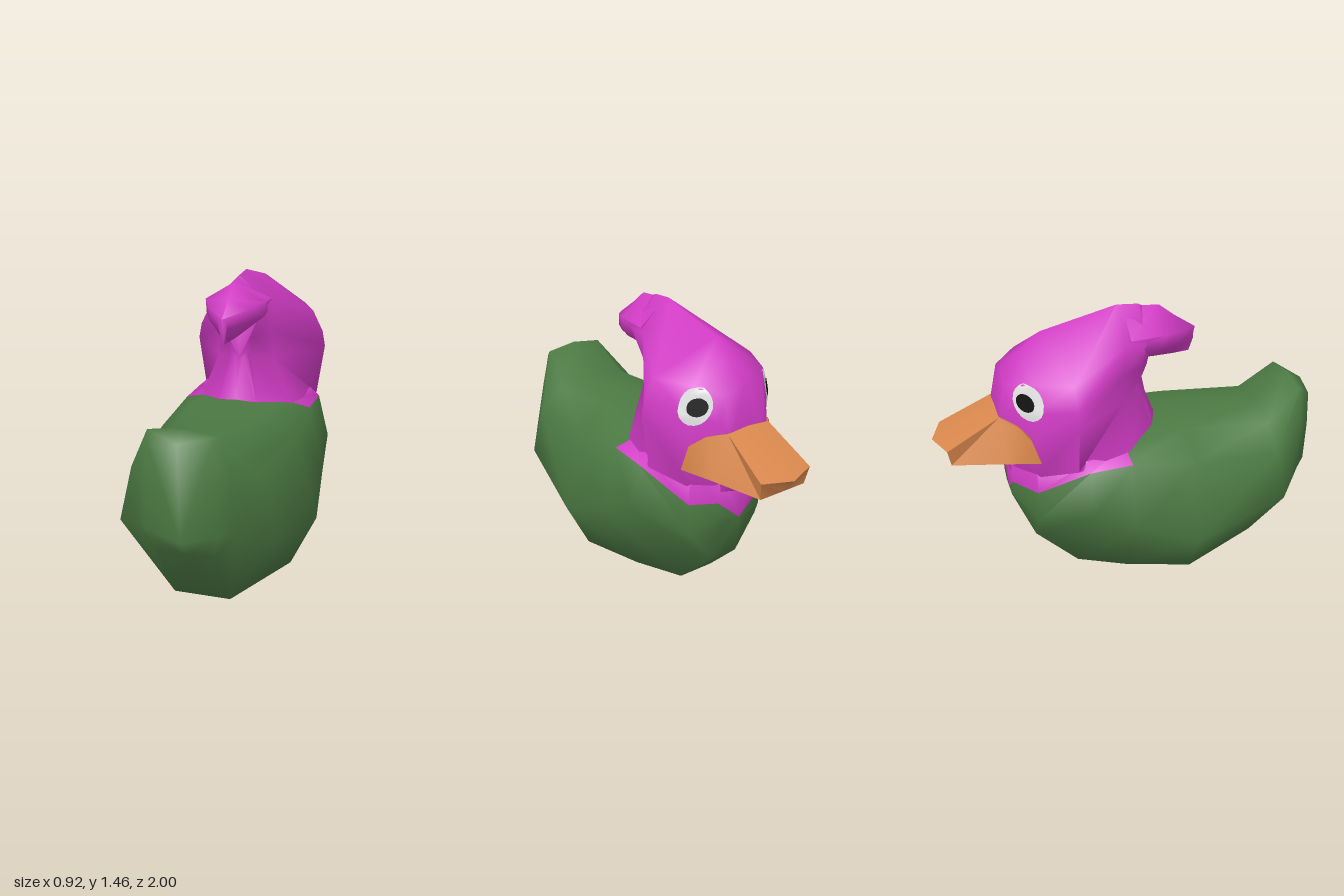
import * as THREE from 'three';
import { toCreasedNormals } from 'three/addons/utils/BufferGeometryUtils.js';

const mat = (name, color) => new THREE.MeshStandardMaterial({ name, color });

// Half cross-section at depth z, from bottom centre over the side points to top centre.
// Side points are [x, y] or [x, y, own z]; bottom and top are y or [y, own z].
const section = (z, bottom, top, ...sides) =>
  [[0, ...[bottom].flat()], ...sides, [0, ...[top].flat()]].map(([x, y, own = z]) => [x, y, own]);

// Loft mirrored sections, ordered from -z to +z; pick(section, row) chooses a material index.
function loft(sections, pick = () => 0) {
  const n = sections[0].length, ring = 2 * (n - 1);
  const pos = [], idx = [], geo = new THREE.BufferGeometry();
  for (const pts of sections) {
    for (let j = 0; j < ring; j++) {
      const [x, y, z] = pts[j < n ? j : ring - j];
      pos.push(j < n ? x : -x, y, z);
    }
  }
  const face = (m, ...v) => {
    geo.addGroup(idx.length, v.length, m);
    idx.push(...v);
  };
  const last = (sections.length - 1) * ring;
  for (let k = 0; k < sections.length - 1; k++) {
    for (let j = 0; j < ring; j++) {
      const row = j < n - 1 ? j : ring - 1 - j;
      const a = k * ring + j, b = k * ring + (j + 1) % ring;
      // mirror the diagonal so both sides match
      if (j < n - 1) face(pick(k, row), a, b, b + ring, a, b + ring, a + ring);
      else face(pick(k, row), a, b, a + ring, b, b + ring, a + ring);
    }
  }
  for (let j = 1; j < ring - 1; j++) {
    const row = Math.min(n - 2, j < n - 1 ? j : ring - 1 - j);
    face(pick(0, row), 0, j + 1, j);
    face(pick(sections.length - 2, row), last, last + j, last + j + 1);
  }
  geo.setAttribute('position', new THREE.Float32BufferAttribute(pos, 3));
  geo.setIndex(idx);
  return geo;
}

export function createModel() {
  const group = new THREE.Group();
  const green = mat('green', 0x4c7a43), purple = mat('purple', 0xd23cc6);
  const orange = mat('orange', 0xd8874c), white = mat('white', 0xe4e4e4);
  const black = mat('black', 0x101010);
  const add = (name, geo, material, crease) => {
    const m = new THREE.Mesh(toCreasedNormals(geo, crease), material);
    m.name = name;
    group.add(m);
    return m;
  };

  // Body with upturned tail; the chest top is purple
  const body = loft([
    section(-0.64, 0.5, 0.82, [0.07, 0.5], [0.12, 0.54], [0.13, 0.62], [0.12, 0.78]),
    section(-0.53, 0.22, 0.85, [0.08, 0.22], [0.2, 0.4], [0.225, 0.59], [0.21, 0.8]),
    section(-0.29, [0, -0.31], 0.82, [0.1, 0, -0.31], [0.4, 0.52], [0.345, 0.74], [0.3, 0.78]),
    section(-0.07, 0, 0.8, [0.22, 0], [0.42, 0.4], [0.34, 0.74], [0.2, 0.77]),
    section(0.26, 0, 0.83, [0.33, 0], [0.46, 0.27], [0.35, 0.69], [0.2, 0.81]),
    section(0.73, [0, 0.7], 0.77, [0.14, 0, 0.7], [0.38, 0.38, 0.77], [0.33, 0.64], [0.2, 0.76]),
    section(0.915, 0.32, 0.93, [0.14, 0.33], [0.23, 0.45], [0.22, 0.7], [0.165, 0.905]),
    section(0.98, 0.41, [0.88, 1], [0.1, 0.41], [0.165, 0.46], [0.165, 0.68], [0.14, 0.86]),
  ], (k, row) => (k < 3 && row >= 3 ? 1 : 0));
  add('body', body, [green, purple], 1.4);

  // Head and neck, narrowing to a ridge at the back
  const head = add('head', loft([
    section(-0.68, 0.8, 1.015, [0.1, 0.8], [0.11, 0.93], [0.11, 0.99], [0.08, 1.01]),
    section(-0.64, 0.65, 1.2, [0.12, 0.68], [0.14, 0.95], [0.14, 1.05], [0.11, 1.17]),
    section(-0.53, 0.65, 1.29, [0.215, 0.68], [0.24, 0.92], [0.24, 1.06], [0.205, 1.2]),
    section(-0.34, 0.7, [1.37, -0.43], [0.32, 0.74], [0.36, 1.01], [0.345, 1.09], [0.29, 1.2]),
    section(-0.05, 0.74, 1.455, [0.25, 0.75], [0.15, 1], [0.14, 1.14], [0.155, 1.3]),
    section(0.06, [0.81, 0.155], 1.445, [0.1, 0.8, 0.11], [0.06, 1.02, 0.04], [0.07, 1.13], [0.15, 1.3]),
    section(0.09, [1.02, 0.075], 1.43, [0.02, 1.03, 0.07], [0.04, 1.06, 0.07], [0.06, 1.14], [0.13, 1.3]),
  ]), purple, 1.3);

  // Swept-back crest
  add('crest', loft([
    section(-0.02, 1.15, 1.445, [0.05, 1.18], [0.13, 1.27], [0.145, 1.32]),
    section(0.14, 1.145, [1.425, 0.17], [0.05, 1.18], [0.15, 1.26], [0.155, 1.33]),
    section(0.25, 1.145, 1.36, [0.05, 1.18], [0.1, 1.25], [0.1, 1.31]),
    section(0.35, [1.15, 0.335], [1.28, 0.365], [0.01, 1.19, 0.34], [0.02, 1.23], [0.02, 1.26]),
  ]), purple, 1.3);

  // Beak, wrapping round the cheeks
  add('beak', loft([
    section(-0.945, [0.78, -0.93], [0.865, -1], [0.13, 0.78, -0.93], [0.145, 0.87]),
    section(-0.68, 0.785, 1.01, [0.205, 0.785], [0.12, 1]),
    section(-0.6, 0.785, 0.98, [0.23, 0.785], [0.19, 0.97]),
    section(-0.51, 0.785, [0.95, -0.55], [0.258, 0.785], [0.245, 0.92, -0.55]),
  ]), orange, 0.6);

  // Eyes: discs draped onto the sides of the head
  head.updateMatrixWorld();
  const ray = new THREE.Raycaster();
  const drape = (name, side, w, h, z, lift, material) => {
    const geo = new THREE.RingGeometry(0.001, 1, 18, 5);
    const p = geo.attributes.position;
    for (let i = 0; i < p.count; i++) {
      const pz = z - side * p.getX(i) * w, py = 1.11 + p.getY(i) * h;
      ray.set(new THREE.Vector3(side * 2, py, pz), new THREE.Vector3(-side, 0, 0));
      const hit = ray.intersectObject(head)[0];
      p.setXYZ(i, (hit ? hit.point.x : side * 0.15) + side * lift, py, pz);
    }
    geo.computeVertexNormals();
    const m = new THREE.Mesh(geo, material);
    m.name = name;
    group.add(m);
  };
  for (const [side, label] of [[1, 'left'], [-1, 'right']]) {
    drape(label + 'EyeWhite', side, 0.064, 0.09, -0.548, 0.006, white);
    drape(label + 'Pupil', side, 0.037, 0.044, -0.563, 0.011, black);
  }
  return group;
}
